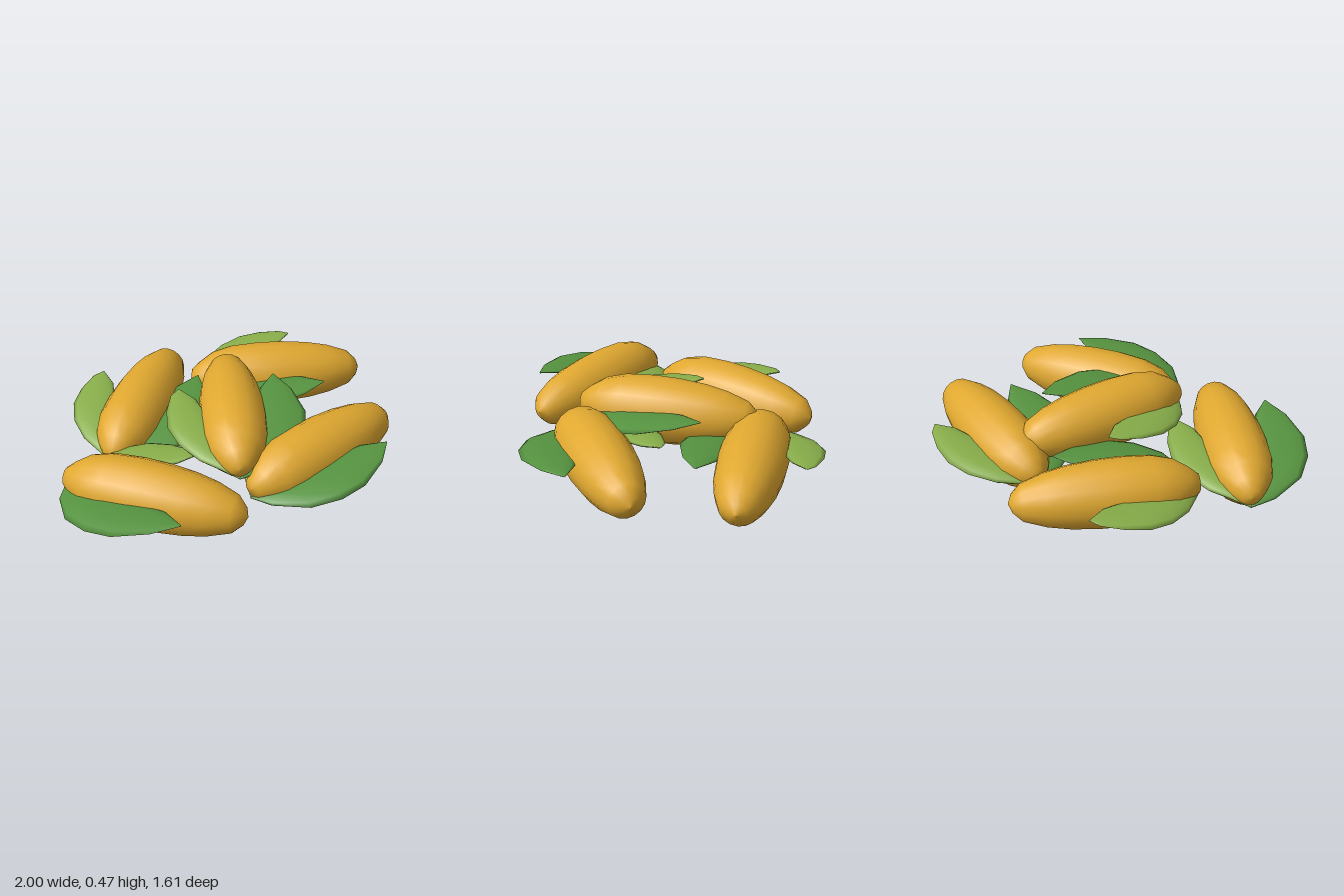
import * as THREE from 'three';

const cobMat = new THREE.MeshStandardMaterial({ color: 0xe0a830 });
cobMat.name = 'corn yellow';
const darkMat = new THREE.MeshStandardMaterial({ color: 0x569340 });
darkMat.name = 'dark husk green';
const lightMat = new THREE.MeshStandardMaterial({ color: 0x88ae4a });
lightMat.name = 'light husk green';

// Cob profile: [radius, distance from the stem end]
const COB = [[0, 0], [0.05, 0.01], [0.093, 0.06], [0.145, 0.14], [0.174, 0.25], [0.184, 0.41],
  [0.181, 0.55], [0.166, 0.7], [0.142, 0.82], [0.1, 0.94], [0.05, 0.99], [0, 1.01]];

// Husk outlines: [distance along the cob, distance sideways]
const LONG_HUSK = {
  outer: [[0, 0], [0.03, 0.136], [0.142, 0.3], [0.286, 0.377], [0.433, 0.395], [0.618, 0.34], [0.747, 0.254]],
  inner: [[0, 0], [0.05, 0.0], [0.16, 0.03], [0.3, 0.07], [0.45, 0.11], [0.63, 0.165], [0.745, 0.248]],
};
const SHORT_HUSK = {
  outer: [[0, 0], [0.05, 0.1], [0.11, 0.206], [0.217, 0.307], [0.338, 0.36], [0.461, 0.362], [0.583, 0.333], [0.635, 0.29]],
  inner: [[0, 0], [0.05, 0.01], [0.12, 0.04], [0.2, 0.07], [0.3, 0.1], [0.42, 0.14], [0.55, 0.2], [0.63, 0.285]],
};

function cobGeometry() {
  const g = new THREE.LatheGeometry(COB.map(([r, y]) => new THREE.Vector2(r, y)), 16);
  g.rotateX(Math.PI / 2);
  return g;
}

// Padded leaf: an elliptical ring spans each pair of outline points, rising to the tip
function huskGeometry({ outer, inner }, side) {
  const n = 10, last = outer.length - 1, length = outer[last][0];
  const pos = [], index = [];
  outer.forEach(([oz, ox], i) => {
    const [iz, ix] = inner[i];
    const half = 0.003 + 0.024 * Math.sin(Math.PI * i / last);
    for (let j = 0; j < n; j++) {
      const a = j / n * Math.PI * 2, k = (1 + Math.cos(a)) / 2;
      const z = iz + (oz - iz) * k;
      const rise = -0.06 + 0.14 * Math.pow(Math.max(z, 0) / length, 0.6);
      pos.push(side * (ix + (ox - ix) * k), rise + half * Math.sin(a), z);
    }
  });
  for (let i = 0; i < last; i++) {
    for (let j = 0; j < n; j++) {
      const a = i * n + j, b = i * n + (j + 1) % n, c = a + n, d = b + n;
      if (side > 0) index.push(a, b, c, b, d, c);
      else index.push(a, c, b, b, c, d);
    }
  }
  const g = new THREE.BufferGeometry();
  g.setAttribute('position', new THREE.Float32BufferAttribute(pos, 3));
  g.setIndex(index);
  g.computeVertexNormals();
  return g;
}

export function createModel() {
  const model = new THREE.Group();
  model.name = 'cornPile';
  const cob = cobGeometry();
  const longHusk = huskGeometry(LONG_HUSK, -1);
  const shortHusk = huskGeometry(SHORT_HUSK, 1);

  // Stem end x, z; pointing direction x, z; axis height
  const ears = [
    ['frontLeftEar', -0.07, 0.53, 0.94, -0.31, 0.19],
    ['frontRightEar', -0.93, 0.06, 0.76, 0.66, 0.19],
    ['backLeftEar', 0.01, -0.54, 0.96, 0.26, 0.19],
    ['backRightEar', -0.65, -0.01, 0.61, -0.76, 0.19],
    ['topEar', -0.11, 0.48, 0.31, -0.95, 0.29],
  ];
  for (const [name, x, z, dx, dz, y] of ears) {
    const ear = new THREE.Group();
    ear.name = name;
    ear.position.set(x, y, z);
    ear.rotation.y = Math.atan2(dx, dz);
    for (const [part, geometry, material] of [
      ['cob', cob, cobMat], ['longHusk', longHusk, darkMat], ['shortHusk', shortHusk, lightMat],
    ]) {
      const mesh = new THREE.Mesh(geometry, material);
      mesh.name = part;
      ear.add(mesh);
    }
    model.add(ear);
  }
  return model;
}
